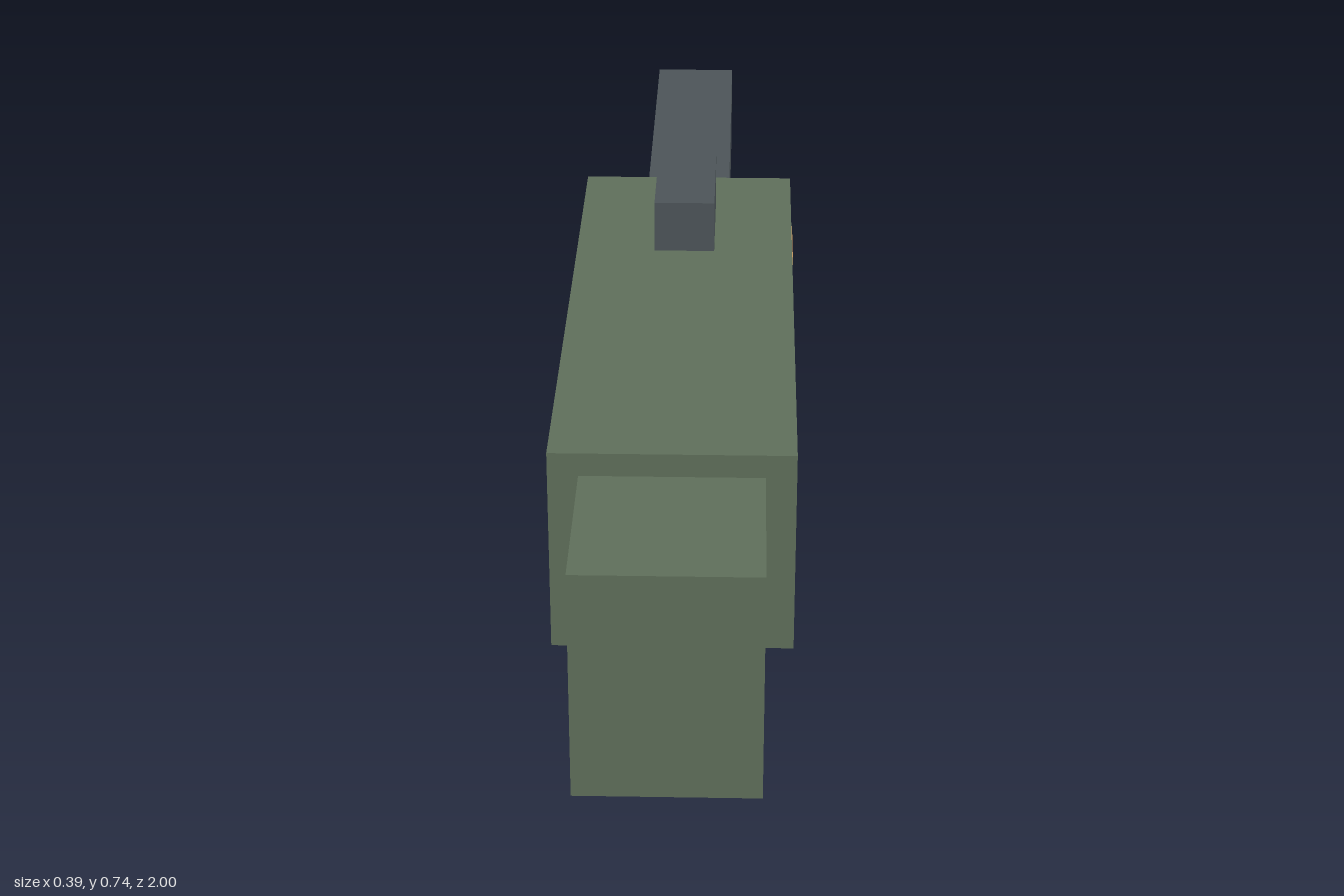
import * as THREE from 'three';

export function createModel() {
  const model = new THREE.Group();
  const green = new THREE.MeshStandardMaterial({ name: 'olive green', color: 0x5f6f5b });
  const dark = new THREE.MeshStandardMaterial({ name: 'gunmetal grey', color: 0x4d5559 });
  const tan = new THREE.MeshStandardMaterial({ name: 'tan', color: 0xc4975f });

  // Adds a box spanning the given [min, max] ranges
  function block(name, material, [x0, x1], [y0, y1], [z0, z1]) {
    const mesh = new THREE.Mesh(new THREE.BoxGeometry(x1 - x0, y1 - y0, z1 - z0), material);
    mesh.position.set((x0 + x1) / 2, (y0 + y1) / 2, (z0 + z1) / 2);
    mesh.name = name;
    model.add(mesh);
  }

  block('body', green, [-0.188, 0.188], [0.314, 0.652], [-0.386, 0.709]);
  block('stock', green, [-0.141, 0.141], [0.238, 0.614], [0.571, 1]);
  block('grip', dark, [-0.113, 0.113], [0, 0.32], [-0.017, 0.23]);
  block('barrel', dark, [-0.075, 0.075], [0.492, 0.642], [-1, -0.38]);
  block('sight', dark, [-0.052, 0.052], [0.645, 0.742], [-0.271, -0.047]);

  // Thin plates on both flanks
  block('leftSidePlate', tan, [0.186, 0.193], [0.416, 0.567], [-0.361, -0.216]);
  block('rightSidePlate', tan, [-0.193, -0.186], [0.416, 0.567], [-0.361, -0.216]);

  return model;
}
